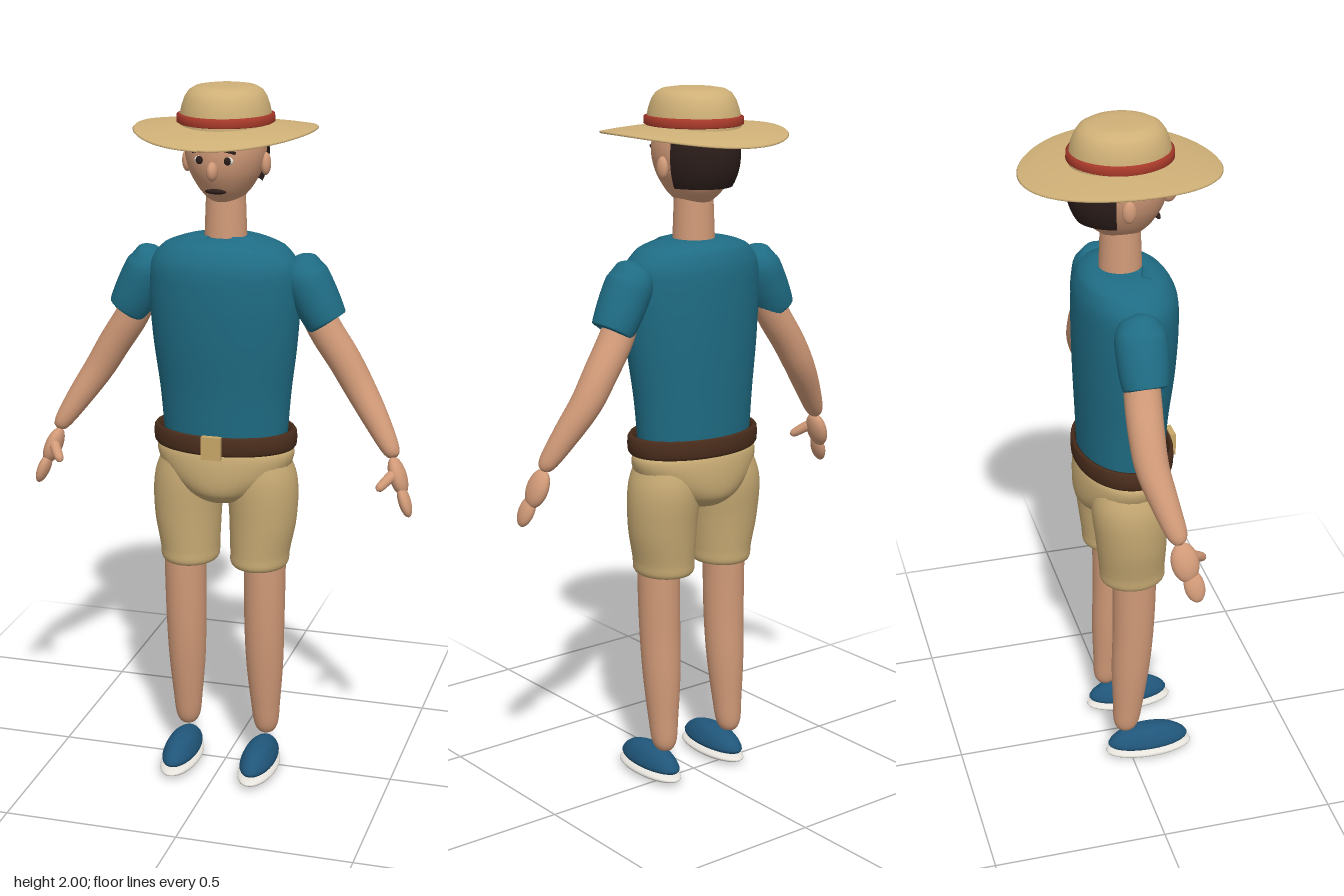
import * as THREE from 'three';

const mat = (name, color, side = THREE.FrontSide) => {
  const m = new THREE.MeshStandardMaterial({ color, side });
  m.name = name;
  return m;
};

// Smooth closed body through cross-sections [x, y, z, radiusX, radiusZ], listed from top to bottom.
// level = true keeps every ring horizontal, otherwise rings stand square to the path.
function sweep(sections, level = true, rings = 36, sides = 32) {
  const path = new THREE.CatmullRomCurve3(sections.map(s => new THREE.Vector3(s[0], s[1], s[2])));
  const size = new THREE.CatmullRomCurve3(sections.map(s => new THREE.Vector3(s[3], s[4], s[1])));
  const pos = [], index = [], Z = new THREE.Vector3(0, 0, 1);
  for (let i = 0; i <= rings; i++) {
    const t = i / rings, c = path.getPoint(t), r = size.getPoint(t);
    const dir = level ? new THREE.Vector3(0, -1, 0) : path.getTangent(t);
    const u = Z.clone().cross(dir).normalize(), v = dir.clone().cross(u);
    for (let j = 0; j < sides; j++) {
      const a = j / sides * Math.PI * 2;
      const p = c.clone().addScaledVector(u, Math.cos(a) * r.x).addScaledVector(v, Math.sin(a) * r.y);
      pos.push(p.x, p.y, p.z);
      if (i === rings) continue;
      const k = (j + 1) % sides, p0 = i * sides + j, p1 = i * sides + k;
      index.push(p0, p1, p0 + sides, p1, p1 + sides, p0 + sides);
    }
  }
  // end caps
  for (const [ring, flip] of [[0, false], [rings, true]]) {
    const n = pos.length / 3, c = path.getPoint(ring / rings);
    pos.push(c.x, c.y, c.z);
    for (let j = 0; j < sides; j++) {
      const a = ring * sides + j, b = ring * sides + (j + 1) % sides;
      index.push(n, flip ? a : b, flip ? b : a);
    }
  }
  const g = new THREE.BufferGeometry();
  g.setAttribute('position', new THREE.Float32BufferAttribute(pos, 3));
  g.setIndex(index);
  g.computeVertexNormals();
  return g;
}

export function createModel() {
  const skin = mat('skin', 0xd19a78), shirt = mat('teal shirt', 0x1f6c84), khaki = mat('khaki shorts', 0xc6a973);
  const straw = mat('straw', 0xcfb077), red = mat('red band', 0xa83a2a), leather = mat('brown leather', 0x4a2d1c);
  const brass = mat('brass', 0xc9a868), dark = mat('dark hair', 0x2b1d1a, THREE.DoubleSide);
  const blue = mat('blue shoe', 0x20567a), white = mat('white sole', 0xe6e3dc);

  const model = new THREE.Group();
  model.name = 'manInHat';
  const add = (name, geo, material, x = 0, y = 0, z = 0, rx = 0, ry = 0, rz = 0) => {
    const m = new THREE.Mesh(geo, material);
    m.name = name;
    m.position.set(x, y, z);
    m.rotation.set(rx, ry, rz);
    model.add(m);
    return m;
  };
  const ball = (a, b, c) => new THREE.SphereGeometry(1, 28, 20).scale(a, b, c);
  const lathe = (pts, sx, sz) =>
    new THREE.LatheGeometry(pts.map(p => new THREE.Vector2(...p)), 64).scale(sx, 1, sz);

  // Torso, neck and hips
  add('shirt', sweep([
    [0, 1.592, 0, 0.03, 0.03], [0, 1.588, 0, 0.1, 0.08], [0, 1.565, 0.005, 0.17, 0.117],
    [0, 1.52, 0.01, 0.207, 0.137], [0, 1.44, 0.011, 0.214, 0.142], [0, 1.3, 0.008, 0.206, 0.138],
    [0, 1.15, 0.002, 0.188, 0.127], [0, 1.03, 0, 0.178, 0.12], [0, 1, 0, 0.174, 0.116]], true, 48, 48), shirt);
  add('neck', new THREE.CylinderGeometry(0.054, 0.06, 0.16, 32), skin, 0, 1.64, 0);
  add('hips', sweep([
    [0, 1.015, 0, 0.165, 0.11], [0, 0.98, 0, 0.198, 0.128], [0, 0.92, 0, 0.178, 0.136],
    [0, 0.87, 0, 0.125, 0.128], [0, 0.838, 0, 0.07, 0.09], [0, 0.825, 0, 0.01, 0.01]]), khaki);

  // Belt and buckle
  add('belt', lathe([[0.188, 0.995], [0.199, 0.992], [0.205, 1.0], [0.207, 1.02], [0.205, 1.04],
    [0.199, 1.048], [0.188, 1.045], [0.186, 1.02], [0.188, 0.995]], 1, 0.68), leather, 0, 0, 0.004);
  add('buckle', new THREE.BoxGeometry(0.056, 0.066, 0.016), brass, 0, 1.018, 0.148);

  // Head
  add('head', sweep([
    [0, 1.95, 0, 0.03, 0.03], [0, 1.92, 0, 0.085, 0.1], [0, 1.87, 0, 0.106, 0.122], [0, 1.82, 0, 0.11, 0.127],
    [0, 1.77, 0, 0.098, 0.117], [0, 1.72, 0, 0.07, 0.088], [0, 1.685, 0.003, 0.035, 0.045],
    [0, 1.675, 0.005, 0.005, 0.005]]), skin);
  add('nose', ball(0.015, 0.026, 0.022), skin, 0, 1.785, 0.133);
  add('mouth', ball(0.03, 0.007, 0.008), dark, 0, 1.726, 0.1);

  // Hair: back shell and the line under the hat
  add('backHair', new THREE.SphereGeometry(1, 32, 24, Math.PI + 0.28, Math.PI - 0.56, 0.5, 1.67)
    .scale(0.117, 0.15, 0.145), dark, 0, 1.82, 0);
  add('topHair', new THREE.SphereGeometry(1, 32, 12, 0, Math.PI * 2, 0.5, 0.78)
    .scale(0.115, 0.15, 0.131), dark, 0, 1.82, -0.003);

  // Hat: the brim droops more at the front and back than at the sides
  const brim = lathe([[0.1, 1.893], [0.16, 1.891], [0.21, 1.888], [0.247, 1.884], [0.25, 1.887],
    [0.247, 1.89], [0.21, 1.894], [0.16, 1.898], [0.1, 1.901]], 1, 1.088);
  const bp = brim.attributes.position;
  for (let i = 0; i < bp.count; i++) bp.setY(i, bp.getY(i) - 0.025 * (bp.getZ(i) / 0.27) ** 2);
  brim.computeVertexNormals();
  add('hatBrim', brim, straw);
  add('hatCrown', lathe([[0.126, 1.885], [0.125, 1.915], [0.119, 1.945], [0.111, 1.968], [0.1, 1.985],
    [0.084, 1.995], [0.06, 1.999], [0.03, 2], [0, 2]], 1, 1.1), straw);
  add('hatBand', lathe([[0.128, 1.9], [0.133, 1.903], [0.132, 1.922], [0.124, 1.926]], 1, 1.08), red);

  for (const s of [1, -1]) {
    const side = s > 0 ? 'left' : 'right';
    const m = list => list.map(p => [p[0] * s, ...p.slice(1)]);

    // Face details and collar
    add(side + 'Ear', ball(0.014, 0.031, 0.019), skin, s * 0.111, 1.79, -0.005);
    add(side + 'Eye', ball(0.014, 0.011, 0.007), white, s * 0.04, 1.813, 0.117);
    add(side + 'Pupil', ball(0.01, 0.011, 0.006), dark, s * 0.039, 1.813, 0.121);
    add(side + 'Brow', new THREE.BoxGeometry(0.036, 0.007, 0.008), dark, s * 0.043, 1.838, 0.119, 0, s * 0.3, -s * 0.25);
    add(side + 'Collar', new THREE.BoxGeometry(0.06, 0.014, 0.075), shirt, s * 0.07, 1.572, 0.075, 0.5, s * 0.3, -s * 0.15);

    // Arm
    add(side + 'Sleeve', sweep(m([
      [0.208, 1.545, -0.004, 0.012, 0.012], [0.213, 1.532, -0.004, 0.042, 0.045], [0.222, 1.495, -0.005, 0.062, 0.068],
      [0.25, 1.435, -0.006, 0.065, 0.07], [0.28, 1.375, -0.007, 0.06, 0.064], [0.286, 1.363, -0.007, 0.057, 0.06],
      [0.288, 1.36, -0.007, 0.045, 0.048]]), false), shirt);
    add(side + 'Arm', sweep(m([
      [0.24, 1.42, -0.01, 0.045, 0.045], [0.28, 1.34, -0.014, 0.047, 0.05], [0.335, 1.255, -0.018, 0.046, 0.049],
      [0.38, 1.18, -0.015, 0.043, 0.046], [0.435, 1.095, 0.006, 0.036, 0.038], [0.482, 1.02, 0.028, 0.024, 0.027],
      [0.491, 1.005, 0.032, 0.016, 0.017], [0.494, 0.999, 0.034, 0.003, 0.003]]), false), skin);

    // Hand
    add(side + 'Palm', ball(0.024, 0.056, 0.038), skin, s * 0.506, 0.95, 0.042, -0.15, 0, s * 0.35);
    add(side + 'Fingers', ball(0.017, 0.046, 0.028), skin, s * 0.53, 0.886, 0.062, -0.2, 0, s * 0.35);
    add(side + 'Thumb', sweep(m([
      [0.506, 0.972, 0.05, 0.004, 0.004], [0.5, 0.965, 0.058, 0.014, 0.014], [0.48, 0.945, 0.085, 0.014, 0.015],
      [0.465, 0.93, 0.104, 0.011, 0.011], [0.461, 0.926, 0.11, 0.002, 0.002]]), false, 20, 16), skin);

    // Leg
    add(side + 'ShortsLeg', sweep(m([
      [0.1, 0.99, 0, 0.07, 0.09], [0.108, 0.9, -0.002, 0.098, 0.108], [0.111, 0.78, 0.003, 0.096, 0.102],
      [0.104, 0.68, 0.007, 0.085, 0.095], [0.103, 0.65, 0.008, 0.083, 0.094], [0.103, 0.64, 0.008, 0.077, 0.087],
      [0.104, 0.638, 0.008, 0.06, 0.065]])), khaki);
    add(side + 'Leg', sweep(m([
      [0.118, 0.72, 0.01, 0.062, 0.063], [0.119, 0.6, 0.01, 0.06, 0.063], [0.118, 0.45, 0.007, 0.058, 0.06],
      [0.118, 0.33, 0, 0.054, 0.056], [0.119, 0.2, -0.008, 0.043, 0.045], [0.12, 0.125, -0.014, 0.034, 0.036],
      [0.12, 0.104, -0.015, 0.022, 0.024], [0.12, 0.098, -0.015, 0.003, 0.003]])), skin);

    // Shoe
    add(side + 'Shoe', sweep(m([
      [0.118, 0.097, 0.055, 0.002, 0.005], [0.118, 0.094, 0.055, 0.019, 0.046], [0.118, 0.082, 0.055, 0.035, 0.085],
      [0.118, 0.062, 0.055, 0.046, 0.113], [0.118, 0.045, 0.055, 0.05, 0.123], [0.118, 0.036, 0.055, 0.047, 0.117],
      [0.118, 0.032, 0.055, 0.035, 0.09]])), blue);
    add(side + 'Sole', ball(0.055, 0.018, 0.132), white, s * 0.118, 0.018, 0.058);
  }
  return model;
}
